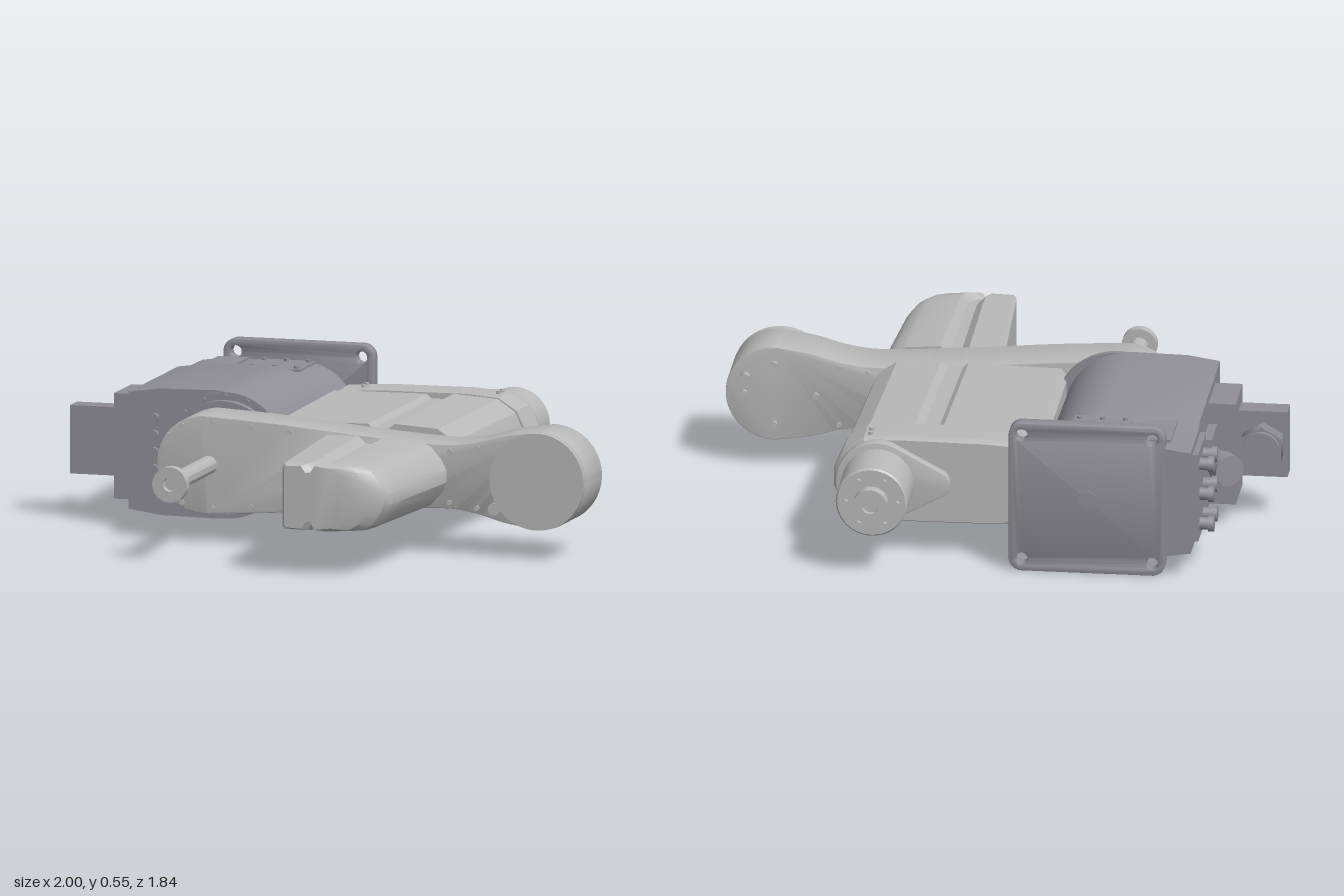
import * as THREE from 'three';
import { toCreasedNormals } from 'three/addons/utils/BufferGeometryUtils.js';

const CY = 0.28; // height of the common centre plane

export function createModel() {
  const root = new THREE.Group();
  root.name = 'robotArm';
  const mat = (name, color) => Object.assign(new THREE.MeshStandardMaterial({ color }), { name });
  const armGrey = mat('light grey', 0xb9b9b9);
  const baseGrey = mat('slate grey', 0x908f97);

  const add = (name, geo, material, x = 0, y = CY, z = 0) => {
    const m = new THREE.Mesh(geo, material);
    m.name = name;
    m.position.set(x, y, z);
    root.add(m);
    return m;
  };
  const box = (name, m, x0, x1, y0, y1, z0, z1) =>
    add(name, new THREE.BoxGeometry(x1 - x0, y1 - y0, z1 - z0), m, (x0 + x1) / 2, (y0 + y1) / 2, (z0 + z1) / 2);
  // cylinder along z
  const rod = (name, m, x, y, r, z0, z1, seg = 40) =>
    add(name, new THREE.CylinderGeometry(r, r, z1 - z0, seg).rotateX(Math.PI / 2), m, x, y, (z0 + z1) / 2);
  // cylinder between two points
  const tube = (name, m, a, b, r, seg = 24) => {
    const p = new THREE.Vector3(...a), q = new THREE.Vector3(...b), d = q.clone().sub(p);
    const o = add(name, new THREE.CylinderGeometry(r, r, d.length(), seg), m, ...p.clone().add(q).multiplyScalar(0.5).toArray());
    o.quaternion.setFromUnitVectors(new THREE.Vector3(0, 1, 0), d.normalize());
    return o;
  };
  // turned part along z from [radius, z] points
  const turned = (name, m, x, y, pts) =>
    add(name, toCreasedNormals(new THREE.LatheGeometry(pts.map(p => new THREE.Vector2(...p)), 48).rotateX(Math.PI / 2), 0.6), m, x, y, 0);

  // skin through sections, each the upper half outline (left to right) mirrored downwards
  const loft = (name, m, sections) => {
    const n = sections[0].half.length, pos = [];
    const rings = sections.map(({ z, half }) => [
      ...half.map(([x, y]) => [x, y, z]),
      ...half.slice().reverse().map(([x, y]) => [x, -y, z])]);
    const tri = (...p) => p.forEach(v => pos.push(...v));
    for (let s = 0; s + 1 < rings.length; s++) {
      for (let i = 0; i < 2 * n; i++) {
        const j = (i + 1) % (2 * n), A = rings[s], B = rings[s + 1];
        tri(A[i], B[i], A[j]);
        tri(A[j], B[i], B[j]);
      }
    }
    const A = rings[0], B = rings[rings.length - 1];
    for (let i = 0; i + 1 < n; i++) {
      const k = 2 * n - 1 - i;
      tri(B[i], B[k], B[i + 1]); tri(B[i + 1], B[k], B[k - 1]);
      tri(A[i], A[i + 1], A[k]); tri(A[i + 1], A[k - 1], A[k]);
    }
    const g = new THREE.BufferGeometry();
    g.setAttribute('position', new THREE.Float32BufferAttribute(pos, 3));
    return add(name, toCreasedNormals(g, 0.45), m);
  };
  const extrude = (name, m, shape, z0, z1, bevel = 0) => add(name, toCreasedNormals(new THREE.ExtrudeGeometry(shape, {
    depth: z1 - z0 - 2 * bevel, curveSegments: 28, bevelEnabled: bevel > 0,
    bevelSize: bevel, bevelOffset: -bevel, bevelThickness: bevel, bevelSegments: 2 }), 0.5), m, 0, CY, z0 + bevel);

  // ---- base: D-shaped column on a drilled mounting plate
  const baseHalf = (h, right) => {
    const r = h, cx = right - r, pts = [[-0.735, h - 0.02], [-0.62, h - 0.003]];
    for (let i = 0; i <= 14; i++) {
      const a = Math.PI / 2 * (1 - i / 14.4);
      pts.push([cx + r * Math.cos(a), r * Math.sin(a)]);
    }
    return pts;
  };
  loft('baseColumn', baseGrey, [
    { z: -0.765, half: baseHalf(0.205, -0.15) }, { z: -0.54, half: baseHalf(0.207, -0.17) },
    { z: -0.48, half: baseHalf(0.225, -0.185) }, { z: 0.1, half: baseHalf(0.225, -0.195) }]);
  const plate = new THREE.Shape(), c = 0.045;
  const [px0, px1, ph] = [-0.645, -0.1, 0.273];
  plate.absarc(px1 - c, ph - c, c, 0, Math.PI / 2);
  plate.absarc(px0 + c, ph - c, c, Math.PI / 2, Math.PI);
  plate.absarc(px0 + c, c - ph, c, Math.PI, Math.PI * 1.5);
  plate.absarc(px1 - c, c - ph, c, Math.PI * 1.5, Math.PI * 2);
  for (const x of [px0 + c, px1 - c]) for (const y of [-1, 1]) {
    const hole = new THREE.Path();
    hole.absarc(x, y * (ph - c), 0.021, 0, Math.PI * 2, true);
    plate.holes.push(hole);
  }
  extrude('mountingPlate', baseGrey, plate, -0.768, -0.718, 0.004);
  rod('plateCentrePlug', baseGrey, -0.375, CY, 0.03, -0.772, -0.76);
  for (const y of [-1, 1]) {
    const yy = CY + y * 0.207;
    box('accessPanel', baseGrey, -0.505, -0.3, yy - 0.004, yy + 0.004, -0.7, -0.5);
    box('sidePanel', baseGrey, -0.66, -0.55, yy - 0.004, yy + 0.004, -0.71, -0.49);
    for (const x of [-0.48, -0.4, -0.32]) for (const z of [-0.67, -0.53])
      tube('panelScrew', baseGrey, [x, yy, z], [x, yy + y * 0.012, z], 0.009, 10);
  }

  // ---- shoulder bearing ring with its bolts
  rod('bearingFlange', baseGrey, -0.38, CY, 0.222, 0.09, 0.112, 56);
  rod('bearingRing', baseGrey, -0.38, CY, 0.195, 0.11, 0.142, 56);
  for (let i = 0; i < 16; i++) {
    const a = i / 16 * Math.PI * 2;
    rod('flangeBolt', baseGrey, -0.38 + 0.208 * Math.cos(a), CY + 0.208 * Math.sin(a), 0.009, 0.11, 0.124, 8);
  }
  for (const y of [-0.12, -0.06, 0, 0.06, 0.12])
    rod('columnBolt', baseGrey, -0.64, CY + y, 0.016, 0.09, 0.118, 10);

  // ---- connectors on the side of the base
  box('connectorBlock', baseGrey, -0.83, -0.73, 0.085, 0.455, -0.24, -0.035);
  box('glandBracket', baseGrey, -1, -0.82, 0.16, 0.4, -0.15, -0.07);
  rod('cableGlandNut', baseGrey, -0.915, CY, 0.08, -0.205, -0.15, 6);
  rod('cableGlandCap', baseGrey, -0.915, CY, 0.065, -0.222, -0.2);
  box('angledSocketBase', baseGrey, -0.765, -0.73, 0.18, 0.38, -0.4, -0.24);
  tube('angledSocket', baseGrey, [-0.74, CY, -0.3], [-0.81, CY, -0.4], 0.045);
  tube('angledSocketCap', baseGrey, [-0.8, CY, -0.385], [-0.832, CY, -0.43], 0.055);
  box('socketPanel', baseGrey, -0.755, -0.73, 0.12, 0.44, -0.71, -0.48);
  for (const y of [0.17, 0.28, 0.39]) for (const z of [-0.66, -0.56]) {
    tube('smallSocket', baseGrey, [-0.74, y, z], [-0.79, y, z], 0.022, 16);
    tube('smallSocketCap', baseGrey, [-0.785, y, z], [-0.805, y, z], 0.028, 16);
  }

  // ---- main link with a narrowed waist
  const link = new THREE.Shape(), v = (x, y) => new THREE.Vector2(x, y);
  link.moveTo(-0.39, 0.172);
  link.absellipse(-0.39, 0, 0.172, 0.172, Math.PI / 2, Math.PI * 1.5);
  link.splineThru([v(-0.15, -0.158), v(0.15, -0.132), v(0.45, -0.112), v(0.58, -0.122), v(0.7, -0.153), v(0.823, -0.172)]);
  link.absarc(0.823, 0, 0.172, -Math.PI / 2, Math.PI / 2);
  link.splineThru([v(0.7, 0.153), v(0.58, 0.122), v(0.45, 0.112), v(0.15, 0.132), v(-0.15, 0.158), v(-0.39, 0.172)]);
  extrude('mainLink', armGrey, link, 0.14, 0.33, 0.004);
  rod('elbowCover', armGrey, 0.823, CY, 0.17, 0.32, 0.355, 64);
  for (const [x, y] of [[-0.52, 0.1], [-0.47, 0.135], [-0.36, 0.15], [-0.22, 0.14], [-0.08, 0.13], [0.5, 0.09], [0.6, 0.105]])
    for (const s of [-1, 1]) {
      rod('linkScrew', armGrey, x, CY + s * y, 0.009, 0.32, 0.337, 10);
      rod('linkScrewBack', armGrey, x, CY + s * y, 0.009, 0.133, 0.15, 10);
    }
  for (const [x, y] of [[0.825, 0.11], [0.93, 0], [0.825, -0.11], [0.68, 0]])
    rod('elbowScrew', armGrey, x, CY + y, 0.011, 0.125, 0.15, 10);
  rod('elbowPlug', armGrey, 0.925, CY + 0.06, 0.018, 0.115, 0.15, 6);
  rod('coverLug', armGrey, 0.665, CY - 0.105, 0.022, 0.32, 0.345, 16);

  // ---- rear housing, grooved along its length
  const rear = (z, right, k, left = -0.2) => ({ z, half: [
    [-0.2, 0.115], [-0.175, 0.148], [0.16, 0.152], [0.18, 0.136], [0.235, 0.136], [0.26, 0.156],
    [0.42, 0.145], [0.485, 0.1], [0.515, 0.03]].map(([x, y]) =>
    [left + (x + 0.2) * (right - left) / 0.715, y * k]) });
  loft('rearHousing', armGrey, [rear(-0.5, 0.512, 0.98), rear(0.145, 0.49, 0.93)]);
  const cap = (z, inset, k) => ({ z, half: [
    [-0.205 + inset, 0.1], [-0.165 + inset, 0.145], [0.0, 0.155], [0.3, 0.157], [0.42, 0.148],
    [0.49 - inset, 0.105], [0.524 - inset, 0.035]].map(([x, y]) => [x, y * k]) });
  loft('rearCap', armGrey, [cap(-0.655, 0.02, 0.94), cap(-0.635, 0, 1), cap(-0.62, 0, 1), cap(-0.5, 0.004, 0.985)]);
  for (const x of [-0.09, 0.4]) for (const s of [-1, 1]) for (const z of [-0.61, -0.57])
    tube('capScrew', armGrey, [x, CY + s * 0.14, z], [x, CY + s * 0.16, z], 0.008, 8);

  // ---- motor on a teardrop flange
  const flange = new THREE.Shape();
  flange.absarc(0.365, 0, 0.147, -Math.PI * 0.6, Math.PI * 0.6);
  flange.absarc(0.165, 0, 0.05, Math.PI * 0.65, Math.PI * 1.35);
  extrude('motorFlange', armGrey, flange, -0.69, -0.645, 0.003);
  turned('motor', armGrey, 0.365, CY, [
    [0, 0.68], [0.125, 0.68], [0.125, 0.878], [0.119, 0.885], [0.06, 0.885], [0.06, 0.925], [0.028, 0.925], [0.028, 0.905], [0, 0.905]
  ].map(([r, z]) => [r, -z]).reverse());
  for (let i = 0; i < 6; i++) {
    const a = i / 6 * Math.PI * 2;
    rod('motorScrew', armGrey, 0.365 + 0.09 * Math.cos(a), CY + 0.09 * Math.sin(a), 0.01, -0.9, -0.88, 10);
  }

  // ---- front cover, tapering to a rounded tip
  const front = (z, left, right, k) => ({ z, half: [
    [0, 0.112], [0.012, 0.124], [0.12, 0.126], [0.15, 0.1], [0.185, 0.1], [0.215, 0.128],
    [0.33, 0.12], [0.375, 0.1], [0.41, 0.06], [0.43, 0.02]].map(([x, y]) =>
    [left + x / 0.43 * (right - left), y * k]) });
  loft('frontCover', armGrey, [
    front(0.325, 0.043, 0.49, 1.02), front(0.78, 0.063, 0.459, 0.96), front(0.84, 0.066, 0.45, 0.95),
    front(0.875, 0.067, 0.43, 0.94), front(0.9, 0.07, 0.38, 0.92), front(0.915, 0.08, 0.3, 0.87)]);

  // ---- tool shaft with end collar
  turned('toolShaft', armGrey, -0.375, CY, [
    [0, 0.32], [0.032, 0.32], [0.032, 0.752], [0.062, 0.752], [0.062, 0.788], [0.024, 0.788], [0.024, 0.76], [0, 0.76]]
    .reverse().map(([r, z]) => [r, z]).reverse());

  return root;
}
